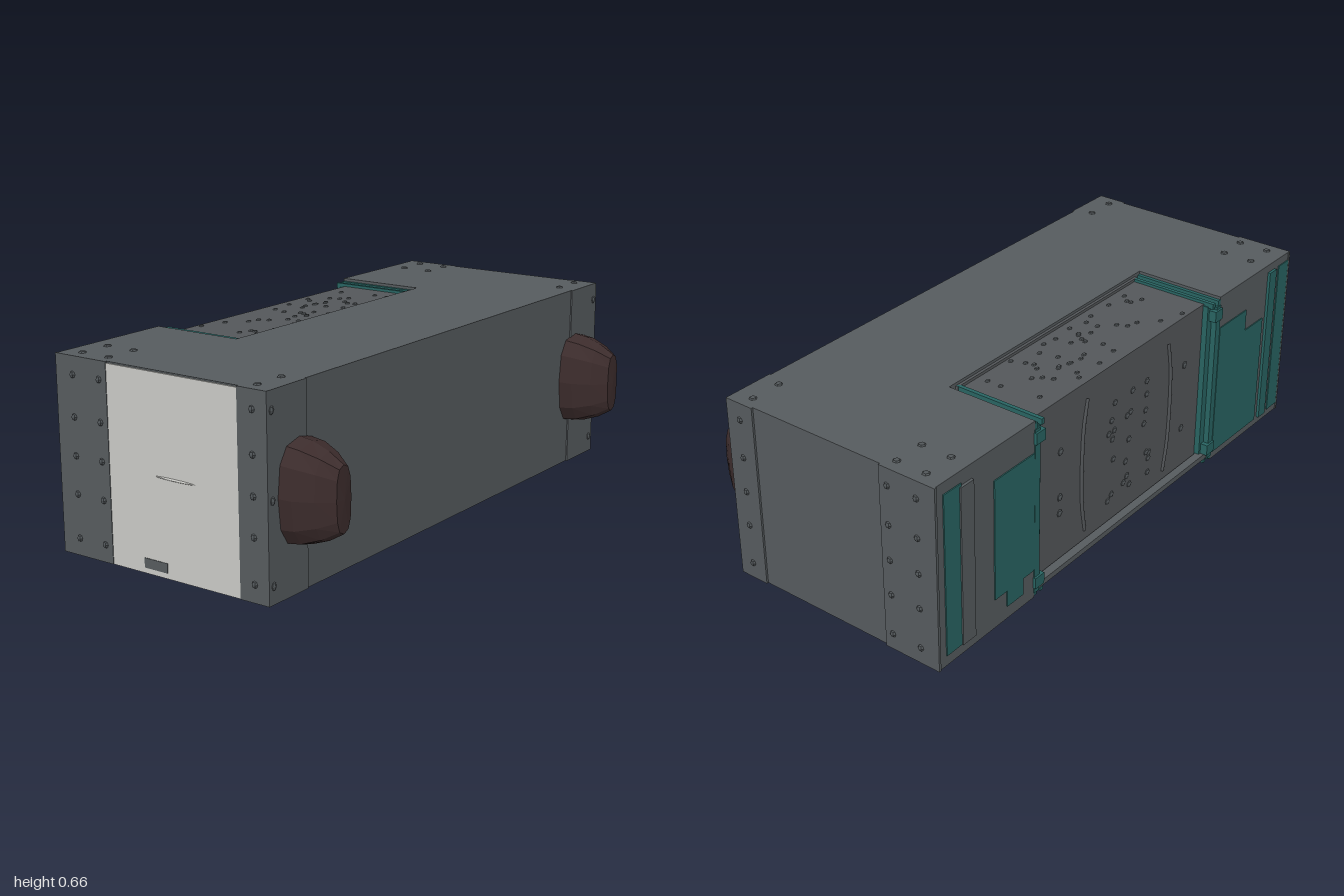
import * as THREE from 'three';

const mat = (name, color, flatShading = false) => {
  const m = new THREE.MeshStandardMaterial({ color, flatShading });
  m.name = name;
  return m;
};

// Rounded horn: oval rings lofted along x, closed by a flat tip
function nubGeometry() {
  const rings = [[0.33, 0.106, 0.166], [0.385, 0.103, 0.158], [0.445, 0.075, 0.136], [0.497, 0.036, 0.105]];
  const n = 12, pos = [], idx = [];
  const soft = (v) => Math.sign(v) * Math.pow(Math.abs(v), 0.75);
  for (const [x, hz, hy] of rings)
    for (let i = 0; i < n; i++) {
      const a = (i / n) * Math.PI * 2;
      pos.push(x, soft(Math.cos(a)) * hy, soft(Math.sin(a)) * hz);
    }
  for (let r = 0; r < rings.length - 1; r++)
    for (let i = 0; i < n; i++) {
      const a = r * n + i, b = r * n + (i + 1) % n;
      idx.push(a, b, b + n, a, b + n, a + n);
    }
  const tip = pos.length / 3, last = (rings.length - 1) * n;
  pos.push(0.5, 0, 0);
  for (let i = 0; i < n; i++) idx.push(last + i, last + (i + 1) % n, tip);
  const g = new THREE.BufferGeometry();
  g.setAttribute('position', new THREE.Float32BufferAttribute(pos, 3));
  g.setIndex(idx);
  g.computeVertexNormals();
  return g;
}

export function createModel() {
  const model = new THREE.Group();
  model.name = 'crate';
  const steel = mat('steel grey', 0x565b5e);
  const stone = mat('block grey', 0x54575a);
  const bump = mat('rivet grey', 0x505558, true);
  const pale = mat('pale panel', 0xcacac6);
  const teal = mat('teal', 0x286462);
  const brown = mat('dark brown', 0x3c2c2c, true);

  const add = (name, geo, m, x = 0, y = 0, z = 0) => {
    const mesh = new THREE.Mesh(geo, m);
    mesh.name = name;
    mesh.position.set(x, y, z);
    model.add(mesh);
    return mesh;
  };
  // Box given by its limits on each axis
  const box = (name, m, x0, x1, y0, y1, z0, z1) =>
    add(name, new THREE.BoxGeometry(x1 - x0, y1 - y0, z1 - z0), m, (x0 + x1) / 2, (y0 + y1) / 2, (z0 + z1) / 2);

  // Body with a notch through the -x side
  const plan = new THREE.Shape([
    [-0.487, -0.98], [0.334, -0.98], [0.334, 0.98], [-0.487, 0.98],
    [-0.487, 0.52], [-0.155, 0.52], [-0.155, -0.52], [-0.487, -0.52],
  ].map(([x, y]) => new THREE.Vector2(x, y)));
  const bodyGeo = new THREE.ExtrudeGeometry(plan, { depth: 0.648, bevelEnabled: false });
  bodyGeo.rotateX(-Math.PI / 2);
  add('body', bodyGeo, steel, 0, 0.012, 0);

  // Block set into the notch
  box('insetBlock', stone, -0.45, -0.16, 0.03, 0.64, -0.475, 0.475);

  // End bands, front panel and side bands
  for (const s of [-1, 1]) {
    const z0 = Math.min(s * 0.978, s * 0.987), z1 = Math.max(s * 0.978, s * 0.987);
    box('endBandLeft', steel, 0.23, 0.338, 0.012, 0.66, z0, z1);
    box('endBandRight', steel, -0.49, -0.28, 0.012, 0.66, z0, z1);
    box('sideBand', steel, 0.33, 0.339, 0.012, 0.66, Math.min(s * 0.8, s * 0.987), Math.max(s * 0.8, s * 0.987));
  }
  box('frontPanel', pale, -0.28, 0.23, 0.012, 0.655, 0.978, 0.985);
  box('frontPatch', steel, -0.148, -0.055, 0.03, 0.062, 0.98, 0.987);
  const crease = add('frontCrease', new THREE.SphereGeometry(1, 12, 6), pale, -0.015, 0.332, 0.984);
  crease.scale.set(0.085, 0.004, 0.005);

  // Horns on the +x side
  const nub = nubGeometry();
  for (const z of [-0.835, 0.835]) add('horn', nub, brown, 0, 0.33, z);

  // Teal trim lining both ends of the notch
  for (const s of [-1, 1]) {
    const span = (name, m, x0, x1, y0, y1, a, b) =>
      box(name, m, x0, x1, y0, y1, Math.min(s * a, s * b), Math.max(s * a, s * b));
    span('notchLiner', teal, -0.47, -0.157, 0.025, 0.635, 0.47, 0.522);
    for (const [y0, y1] of [[0.63, 0.65], [0.018, 0.03]]) {
      span('trimOuter', teal, -0.487, -0.157, y0, y1, 0.507, 0.522);
      span('trimInner', teal, -0.487, -0.157, y0, y1, 0.474, 0.488);
    }
    span('cornerPost', teal, -0.49, -0.455, 0.03, 0.63, 0.497, 0.523);
    for (const y of [0.05, 0.58]) span('postCap', teal, -0.497, -0.45, y, y + 0.04, 0.48, 0.525);
  }
  box('lowerRail', steel, -0.485, -0.455, 0.03, 0.05, -0.5, 0.5);
  box('notchEdge', stone, -0.165, -0.15, 0.025, 0.65, -0.49, 0.49);

  // Teal plates and upright bars on the -x side
  const plate = (name, m, y0, y1, z0, z1, out = 0.491) => box(name, m, -out, -0.484, y0, y1, z0, z1);
  plate('backStrip', teal, 0.05, 0.62, -0.95, -0.87);
  plate('backBar', steel, 0.05, 0.61, -0.88, -0.82, 0.496);
  plate('backPlate', teal, 0.12, 0.55, -0.72, -0.525);
  plate('backPlateLower', teal, 0.06, 0.36, -0.66, -0.58);
  plate('frontStrip', teal, 0.04, 0.63, 0.91, 0.975);
  plate('frontBar', teal, 0.04, 0.63, 0.84, 0.885, 0.497);
  plate('frontPlate', teal, 0.04, 0.46, 0.525, 0.82);
  plate('frontPlateUpper', teal, 0.46, 0.54, 0.525, 0.7);

  // Raised ribs on the block face
  for (const z of [-0.22, 0.28]) {
    const bend = Math.sign(z) * 0.02;
    const path = new THREE.CatmullRomCurve3([
      new THREE.Vector3(-0.45, 0.08, z - bend), new THREE.Vector3(-0.451, 0.2, z),
      new THREE.Vector3(-0.451, 0.47, z), new THREE.Vector3(-0.45, 0.58, z - bend)]);
    add('blockRib', new THREE.TubeGeometry(path, 12, 0.007, 5), stone);
  }

  // Small seeded generator for the scattered bumps
  let seed = 7;
  const rnd = () => (seed = (seed * 16807) % 2147483647) / 2147483647;
  const dot = new THREE.SphereGeometry(1, 6, 4);
  const blob = (name, m, x, y, z, sx, sy, sz) => add(name, dot, m, x, y, z).scale.set(sx, sy, sz);
  for (let i = 0; i < 45; i++)
    blob('topBump', bump, -0.43 + rnd() * 0.25, 0.64, -0.44 + rnd() * 0.88, 0.008, 0.006, 0.01);
  for (let i = 0; i < 24; i++)
    blob('faceBump', bump, -0.45, 0.12 + rnd() * 0.42, [-0.08, 0.02, 0.13][i % 3] + rnd() * 0.04, 0.006, 0.012, 0.014);
  for (const [y, z] of [[0.22, -0.34], [0.28, -0.34], [0.45, -0.34], [0.2, 0.37], [0.45, 0.37]])
    blob('faceBump', bump, -0.45, y, z, 0.007, 0.014, 0.014);

  // Rivets along the end bands
  for (const s of [-1, 1]) {
    for (const x of [-0.42, -0.31, 0.285])
      for (const y of [0.07, 0.215, 0.34, 0.465, 0.6])
        blob('endRivet', bump, x, y, s * 0.986, 0.012, 0.012, 0.009);
    for (const y of [0.07, 0.33, 0.6])
      blob('sideRivet', bump, 0.338, y, s * 0.965, 0.008, 0.014, 0.012);
    for (const x of [-0.42, -0.31, 0.27])
      for (const z of [0.83, 0.94])
        for (const y of [0.013, 0.659]) blob('edgeRivet', bump, x, y, s * z, 0.014, 0.008, 0.014);
  }
  return model;
}
